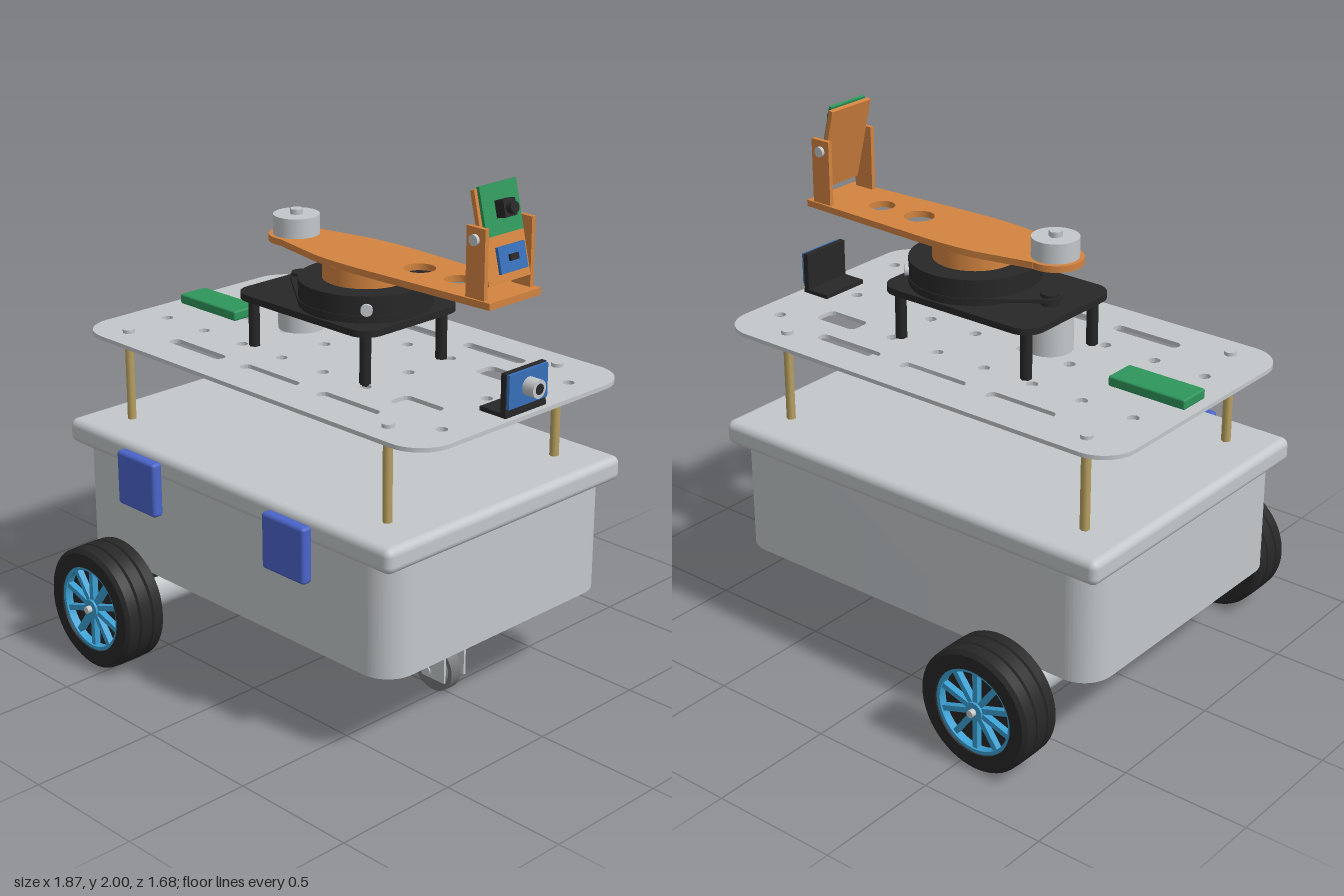
import * as THREE from 'three';
import { toCreasedNormals } from 'three/addons/utils/BufferGeometryUtils.js';
import { RoundedBoxGeometry } from 'three/addons/geometries/RoundedBoxGeometry.js';

const material = (name, color) => Object.assign(new THREE.MeshStandardMaterial({ color }), { name });
const grey = material('light grey', 0xc3c7ca);
const black = material('black', 0x272727);
const orange = material('orange', 0xd38440);
const boardBlue = material('board blue', 0x3670b8);
const latchBlue = material('latch blue', 0x4a64c8);
const rimBlue = material('rim blue', 0x3a9fd2);
const green = material('green', 0x2f965c);
const brass = material('brass', 0xb9a262);
const rubber = material('caster grey', 0x747678);

function add(parent, name, geometry, mat, x = 0, y = 0, z = 0) {
  const mesh = new THREE.Mesh(geometry, mat);
  mesh.name = name;
  mesh.position.set(x, y, z);
  parent.add(mesh);
  return mesh;
}
const box = (w, h, d) => new THREE.BoxGeometry(w, h, d);

// Cylinder along the chosen axis
function cyl(r, h, axis = 'y', sides = 40) {
  const g = new THREE.CylinderGeometry(r, r, h, sides);
  if (axis === 'x') g.rotateZ(-Math.PI / 2);
  if (axis === 'z') g.rotateX(Math.PI / 2);
  return g;
}

// Flat shape lying in the xz plane, its underside on y = 0
function slab(shape, thickness) {
  const g = new THREE.ExtrudeGeometry(shape, { depth: thickness, bevelEnabled: false, curveSegments: 16 });
  g.rotateX(-Math.PI / 2);
  return toCreasedNormals(g, 0.6);
}

function roundRect(cx, cy, w, h, r, Type = THREE.Shape) {
  const s = new Type(), x = w / 2 - r, y = h / 2 - r, q = Math.PI / 2;
  s.absarc(cx + x, cy + y, r, 0, q);
  s.absarc(cx - x, cy + y, r, q, 2 * q);
  s.absarc(cx - x, cy - y, r, 2 * q, 3 * q);
  s.absarc(cx + x, cy - y, r, 3 * q, 4 * q);
  s.closePath();
  return s;
}
const hole = (x, y, r) => new THREE.Path().absarc(x, y, r, 0, Math.PI * 2, true);

// Tyre and spoked rim, axle along z
function makeWheel() {
  const wheel = new THREE.Group();
  const profile = [[0.168, -0.09], [0.222, -0.09], [0.238, -0.078], [0.24, -0.036], [0.23, -0.03],
    [0.24, -0.024], [0.24, 0.024], [0.23, 0.03], [0.24, 0.036], [0.238, 0.078], [0.222, 0.09],
    [0.168, 0.09], [0.168, -0.09]].map(p => new THREE.Vector2(...p));
  const tyre = new THREE.LatheGeometry(profile, 56).rotateX(Math.PI / 2);
  add(wheel, 'tyre', toCreasedNormals(tyre, 0.5), black);
  add(wheel, 'wheelWeb', cyl(0.169, 0.10, 'z', 48), black);
  const ring = new THREE.Shape().absarc(0, 0, 0.172, 0, Math.PI * 2);
  ring.holes.push(hole(0, 0, 0.154));
  const ringGeo = new THREE.ExtrudeGeometry(ring, { depth: 0.165, bevelEnabled: false, curveSegments: 24 });
  add(wheel, 'rim', toCreasedNormals(ringGeo.translate(0, 0, -0.0825), 0.6), rimBlue);
  add(wheel, 'hub', cyl(0.036, 0.168, 'z', 24), rimBlue);
  for (let i = 0; i < 10; i++) {
    const a = i * Math.PI / 5 + Math.PI / 10;
    const spoke = add(wheel, 'spoke', box(0.14, 0.021, 0.15), rimBlue, Math.cos(a) * 0.094, Math.sin(a) * 0.094);
    spoke.rotation.z = a;
  }
  return wheel;
}

function addDrive(root, side) {
  const drive = new THREE.Group();
  drive.name = side > 0 ? 'frontDrive' : 'backDrive';
  drive.position.set(-0.57, 0.243, 0);
  root.add(drive);
  const wheel = makeWheel();
  wheel.name = 'wheel';
  wheel.position.z = side * 0.738;
  drive.add(wheel);
  add(drive, 'axleTip', cyl(0.014, 0.06, 'z', 16), grey, 0, 0, side * 0.812);
  add(drive, 'coupling', cyl(0.036, 0.06, 'z', 6), brass, 0, 0, side * 0.63);
  add(drive, 'gearbox', cyl(0.088, 0.235, 'z'), grey, 0, 0, side * 0.478);
  add(drive, 'motor', cyl(0.083, 0.18, 'z'), grey, 0, 0, side * 0.27);
  add(drive, 'motorCap', cyl(0.084, 0.07, 'z'), black, 0, 0, side * 0.146);
  add(drive, 'bracketPlate', box(0.21, 0.212, 0.018), black, 0, -0.004, side * 0.604);
  add(drive, 'bracketFlange', box(0.21, 0.012, 0.155), black, 0, 0.096, side * 0.535);
}

function addCaster(root) {
  add(root, 'casterPlate', box(0.235, 0.014, 0.19), grey, 0.565, 0.339);
  add(root, 'casterSwivel', cyl(0.08, 0.034), grey, 0.565, 0.315);
  add(root, 'casterWheel', cyl(0.075, 0.086, 'z'), rubber, 0.48, 0.095);
  add(root, 'casterTread', cyl(0.093, 0.05, 'z'), rubber, 0.48, 0.095);
  add(root, 'casterAxle', cyl(0.018, 0.13, 'z', 16), grey, 0.48, 0.095);
  for (const s of [-1, 1]) add(root, 'casterFork', box(0.115, 0.235, 0.01), grey, 0.508, 0.188, s * 0.054);
}

function addDeck(root) {
  const deck = roundRect(-0.02, 0, 1.83, 1.09, 0.14);
  for (const s of [-1, 1]) {
    for (const x of [-0.423, -0.022, 0.383]) deck.holes.push(roundRect(x, s * 0.38, 0.295, 0.05, 0.0249, THREE.Path));
    deck.holes.push(roundRect(0.565, s * 0.22, 0.19, 0.092, 0.025, THREE.Path));
    for (const x of [-0.79, -0.57, -0.35, -0.13, 0.09, 0.31]) deck.holes.push(hole(x, s * 0.22, 0.022));
    deck.holes.push(hole(0.785, s * 0.33, 0.022));
  }
  for (const x of [-0.57, -0.35, -0.13, 0.09, 0.31, 0.69]) deck.holes.push(hole(x, 0, 0.022));
  add(root, 'deck', slab(deck, 0.016), grey, 0, 1.205);
  for (const x of [-0.755, 0.64]) for (const z of [-0.44, 0.44]) {
    add(root, 'standoff', cyl(0.018, 0.345, 'y', 6), brass, x, 1.037, z);
    add(root, 'deckScrew', cyl(0.023, 0.016, 'y', 20), grey, x, 1.227, z);
  }
  add(root, 'circuitBoard', new RoundedBoxGeometry(0.327, 0.04, 0.13, 2, 0.008), green, -0.732, 1.241);

  // Forward distance sensor on an angle bracket
  add(root, 'sensorFoot', box(0.12, 0.016, 0.21), black, 0.812, 1.229);
  add(root, 'sensorUpright', box(0.022, 0.16, 0.21), black, 0.858, 1.301);
  add(root, 'sensorBoard', box(0.012, 0.125, 0.2), boardBlue, 0.875, 1.316);
  add(root, 'sensorBarrel', cyl(0.034, 0.05, 'x', 24), grey, 0.905, 1.318);
  add(root, 'sensorEye', cyl(0.02, 0.004, 'x', 20), black, 0.93, 1.318);
}

function addTurntable(root) {
  const table = new THREE.Group();
  table.name = 'turntable';
  root.add(table);
  for (const x of [-0.305, 0.285]) for (const z of [-0.197, 0.197])
    add(table, 'leg', cyl(0.022, 0.2, 'y', 6), black, x, 1.316, z);
  add(table, 'basePlate', slab(roundRect(-0.01, 0, 0.71, 0.51, 0.08), 0.025), black, 0, 1.41);
  add(table, 'hangingMotor', cyl(0.088, 0.15), grey, -0.258, 1.336);
  add(table, 'pulley', cyl(0.036, 0.045, 'y', 24), black, -0.258, 1.456);
  add(table, 'bearingLower', cyl(0.235, 0.03, 'y', 64), black, 0.088, 1.447);
  add(table, 'bearing', cyl(0.248, 0.1, 'y', 64), black, 0.088, 1.486);

  // Belt outline: two circles joined by their tangents
  const t = Math.acos((0.252 - 0.042) / 0.346);
  const belt = new THREE.Shape();
  belt.absarc(0.088, 0, 0.252, -(Math.PI - t), Math.PI - t);
  belt.absarc(-0.258, 0, 0.042, Math.PI - t, Math.PI + t);
  belt.closePath();
  add(table, 'belt', slab(belt, 0.014), black, 0, 1.452);
  for (const s of [-1, 1]) {
    const screw = add(table, 'sideScrew', cyl(0.022, 0.02, 'x', 20), grey, 0.27, 1.488, s * 0.176);
    screw.rotation.y = -s * Math.PI / 4;
  }
  add(table, 'neck', cyl(0.16, 0.068, 'y', 56), orange, 0.088, 1.568);

  // Swinging arm
  const arm = new THREE.Shape();
  arm.moveTo(0.81, -0.132);
  arm.lineTo(0.81, 0.132);
  arm.lineTo(0.25, 0.157);
  arm.quadraticCurveTo(0.08, 0.165, -0.03, 0.15);
  arm.lineTo(-0.258, 0.103);
  arm.absarc(-0.28, 0, 0.105, 1.36, Math.PI * 2 - 1.36);
  arm.lineTo(-0.03, -0.15);
  arm.quadraticCurveTo(0.08, -0.165, 0.25, -0.157);
  arm.closePath();
  arm.holes.push(hole(0.36, 0, 0.058), hole(0.545, 0, 0.05));
  add(table, 'arm', slab(arm, 0.025), orange, 0, 1.6);
  add(table, 'armMotor', cyl(0.088, 0.076), grey, -0.28, 1.662);
  add(table, 'armBolt', cyl(0.026, 0.022, 'y', 6), grey, -0.28, 1.709);
}

function addSensorHead(root) {
  for (const s of [-1, 1]) {
    add(root, 'headCheek', box(0.085, 0.25, 0.018), orange, 0.737, 1.75, s * 0.118);
    add(root, 'pivotScrew', cyl(0.02, 0.014, 'z', 20), grey, 0.735, 1.832, s * 0.133);
  }
  const head = new THREE.Group();
  head.name = 'tiltingHead';
  head.position.set(0.735, 1.83, 0);
  head.rotation.z = 0.24;
  root.add(head);
  add(head, 'backPlate', box(0.018, 0.33, 0.212), orange);
  add(head, 'cameraBoard', box(0.012, 0.175, 0.186), green, 0.016, 0.086);
  add(head, 'cameraBody', box(0.04, 0.06, 0.06), black, 0.042, 0.085);
  add(head, 'cameraLens', cyl(0.021, 0.025, 'x', 24), black, 0.072, 0.085);
  add(head, 'rangeSpacer', box(0.022, 0.06, 0.09), black, 0.018, -0.085);
  add(head, 'rangeBoard', box(0.012, 0.092, 0.136), boardBlue, 0.034, -0.085);
  add(head, 'rangeChip', box(0.01, 0.022, 0.042), black, 0.044, -0.082);
}

export function createModel() {
  const root = new THREE.Group();
  root.name = 'roverRobot';
  // Storage box with lid and latches
  add(root, 'boxBody', slab(roundRect(-0.055, 0, 1.69, 1.17, 0.12), 0.44), grey, 0, 0.345);
  add(root, 'boxLid', new RoundedBoxGeometry(1.75, 0.097, 1.232, 4, 0.03), grey, -0.055, 0.821);
  for (const x of [-0.463, 0.347])
    add(root, 'latch', new RoundedBoxGeometry(0.217, 0.216, 0.046, 3, 0.014), latchBlue, x, 0.743, 0.643);
  for (const side of [-1, 1]) addDrive(root, side);
  addCaster(root);
  addDeck(root);
  addTurntable(root);
  addSensorHead(root);
  return root;
}
